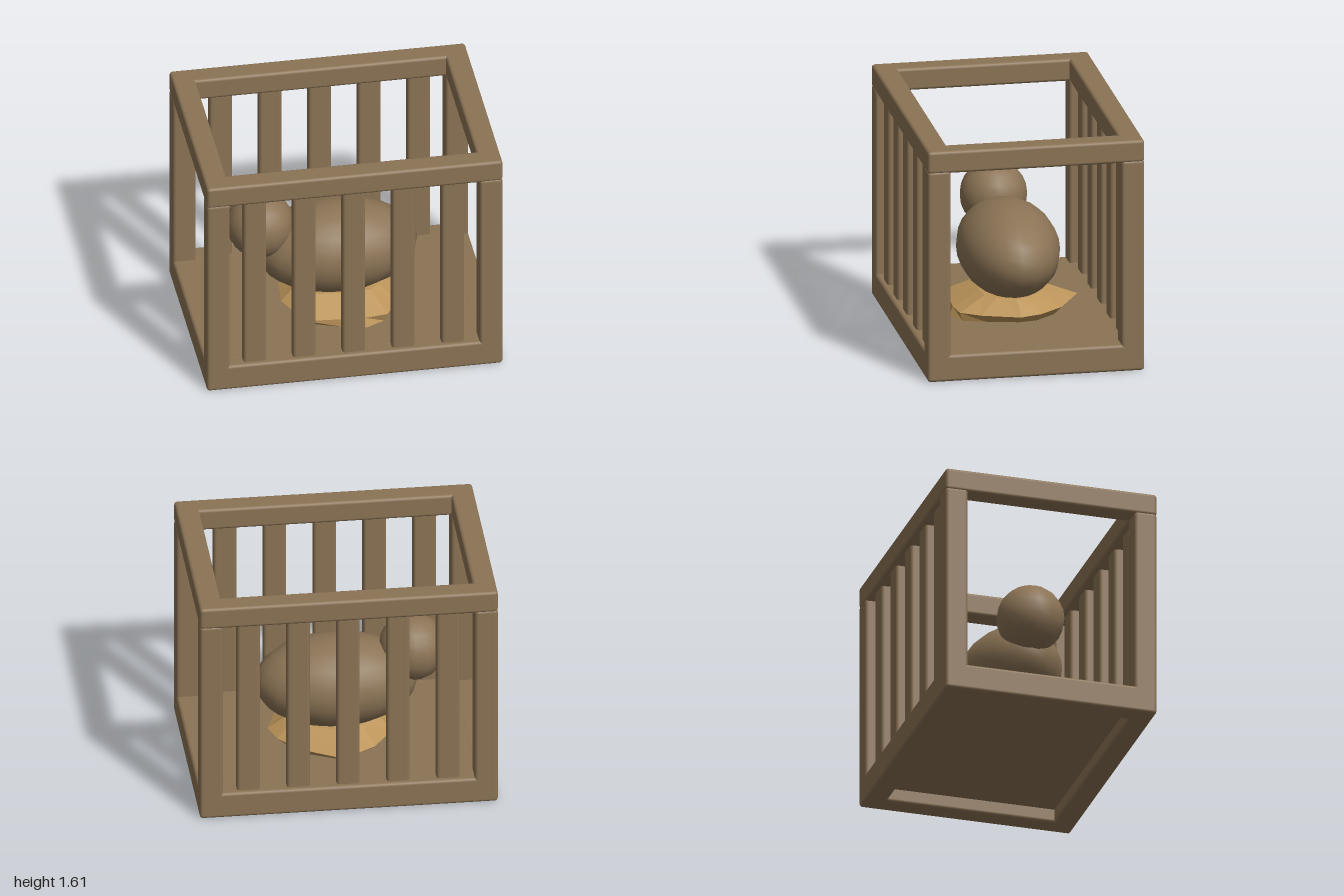
import * as THREE from 'three';
import { RoundedBoxGeometry } from 'three/addons/geometries/RoundedBoxGeometry.js';

export function createModel() {
  const wood = new THREE.MeshStandardMaterial({ color: 0x8b7355 });
  wood.name = 'brown wood';
  const straw = new THREE.MeshStandardMaterial({ color: 0xbb945a });
  straw.name = 'tan straw';
  const model = new THREE.Group();
  model.name = 'cagedBird';

  const add = (parent, name, geometry, material, x, y, z) => {
    const mesh = new THREE.Mesh(geometry, material);
    mesh.name = name;
    mesh.position.set(x, y, z);
    parent.add(mesh);
    return mesh;
  };
  const beam = (w, h, d) => new RoundedBoxGeometry(w, h, d, 3, 0.022);

  // Cage: rounded rails, corner posts, floor and bars on the long sides
  const cage = new THREE.Group();
  cage.name = 'cage';
  model.add(cage);
  const T = 0.155, W = 2, D = 1.47, H = 1.61, baseH = 0.185;
  const px = W / 2 - T / 2, pz = D / 2 - T / 2;

  for (const [name, h, y] of [['bottom', baseH, baseH / 2], ['top', T, H - T / 2]]) {
    for (const s of [-1, 1]) {
      add(cage, name + 'LongRail', beam(W, h, T), wood, 0, y, s * pz);
      add(cage, name + 'ShortRail', beam(T, h, D), wood, s * px, y, 0);
    }
  }
  add(cage, 'floor', new THREE.BoxGeometry(W - 0.08, 0.09, D - 0.08), wood, 0, baseH - 0.046, 0);

  for (const sz of [-1, 1]) {
    for (const sx of [-1, 1]) {
      add(cage, 'cornerPost', beam(T, 1.34, T), wood, sx * px, 0.8, sz * pz);
    }
    for (let i = -2; i <= 2; i++) {
      add(cage, 'bar', beam(T, 1.34, 0.085), wood, i * 0.335, 0.82, sz * pz);
    }
  }

  // Bird: stretched body and round head
  const bird = new THREE.Group();
  bird.name = 'bird';
  model.add(bird);
  add(bird, 'body', new THREE.SphereGeometry(1, 18, 14), wood, 0, 0.595, 0).scale.set(0.55, 0.315, 0.34);
  add(bird, 'head', new THREE.SphereGeometry(0.228, 16, 12), wood, -0.513, 0.81, 0);

  // Nest: uneven faceted heap, each rim point as [x, z, base spread]
  const rim = [
    [0.46, 0, 0.8], [0.37, 0.25, 0.85], [0.28, 0.38, 0.95], [0.13, 0.40, 1.06],
    [-0.02, 0.39, 1], [-0.27, 0.37, 0.85], [-0.39, 0.1, 0.7], [-0.37, -0.12, 0.75],
    [-0.22, -0.33, 0.8], [0, -0.47, 0.8], [0.28, -0.31, 0.85], [0.41, -0.15, 0.85],
  ];
  const rings = [
    rim.map(([x, z, b]) => [x * b, 0.183, z * b]),
    rim.map(([x, z]) => [x, 0.245, z]),
    rim.map(([x, z]) => [x * 0.72, 0.333, z * 0.52]),
  ];
  const points = [];
  const n = rim.length;
  for (let i = 0; i < n; i++) {
    const j = (i + 1) % n;
    for (let r = 0; r < 2; r++) {
      const a = rings[r][i], b = rings[r][j], c = rings[r + 1][j], d = rings[r + 1][i];
      points.push(...a, ...c, ...b, ...a, ...d, ...c);
    }
    points.push(0, 0.335, 0, ...rings[2][j], ...rings[2][i]);
    points.push(0, 0.183, 0, ...rings[0][i], ...rings[0][j]);
  }
  const nestGeometry = new THREE.BufferGeometry();
  nestGeometry.setAttribute('position', new THREE.Float32BufferAttribute(points, 3));
  nestGeometry.computeVertexNormals();
  add(model, 'nest', nestGeometry, straw, 0, 0, 0);

  return model;
}
